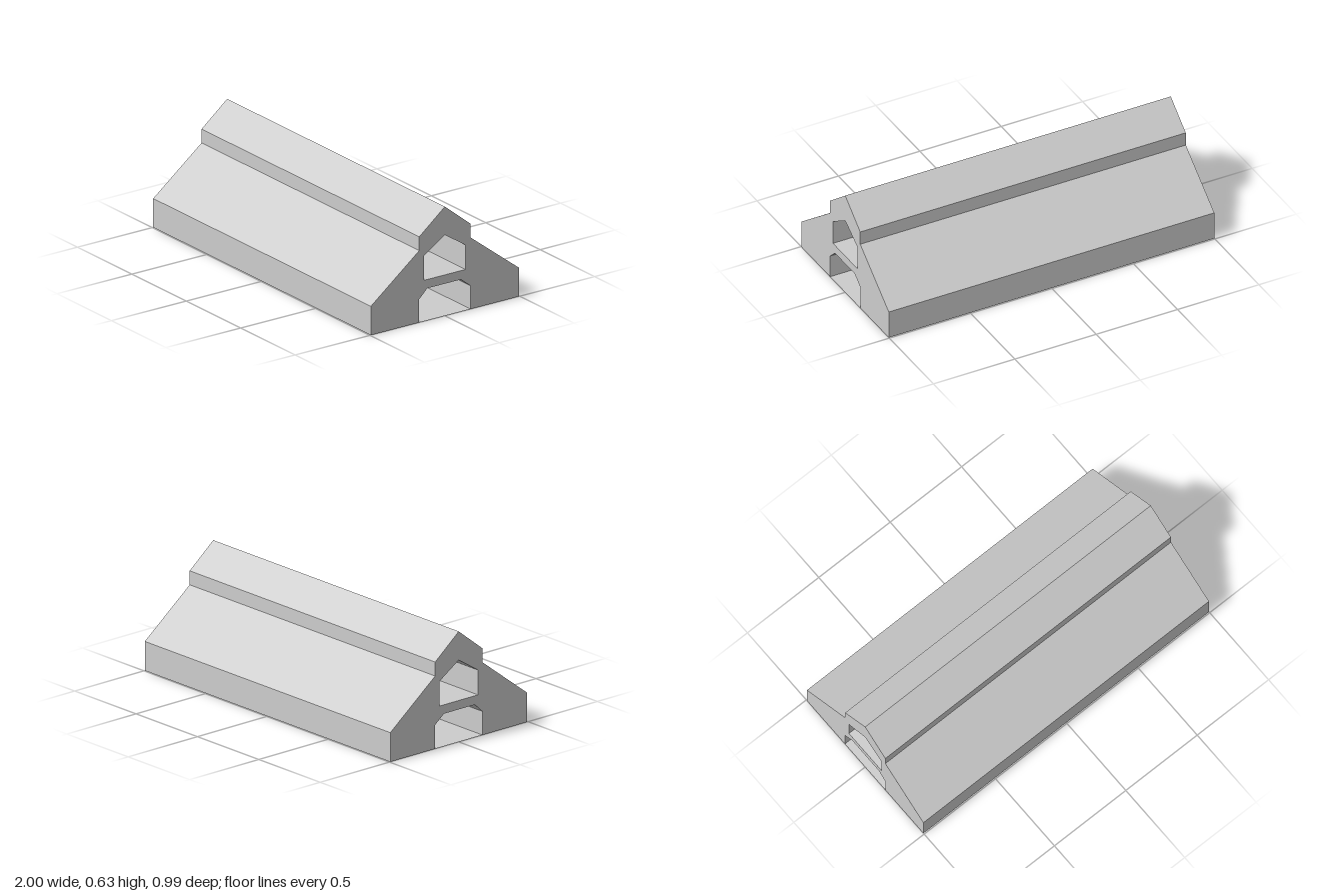
import * as THREE from 'three';

const HALF = 1; // half the length

// Closed profile path from [u, y] points
const trace = (path, points) => {
  points.forEach(([u, y], i) => (i ? path.lineTo(u, y) : path.moveTo(u, y)));
  path.closePath();
  return path;
};

// Flat-faced walls swept along the length from a profile line
const sweep = (points) => {
  const positions = [];
  for (let i = 0; i < points.length - 1; i++) {
    const [a, b] = [points[i], points[i + 1]];
    positions.push(...a, -HALF, ...b, -HALF, ...b, HALF);
    positions.push(...a, -HALF, ...b, HALF, ...a, HALF);
  }
  const geometry = new THREE.BufferGeometry();
  geometry.setAttribute('position', new THREE.Float32BufferAttribute(positions, 3));
  geometry.computeVertexNormals();
  return geometry;
};

export function createModel() {
  const group = new THREE.Group();
  group.name = 'gabledHall';
  const stone = new THREE.MeshStandardMaterial({ color: 0xcccccc, side: THREE.DoubleSide });
  stone.name = 'light grey';

  // Profiles are drawn across the hall, then turned to run along x
  const add = (name, geometry) => {
    const mesh = new THREE.Mesh(geometry.rotateY(Math.PI / 2), stone);
    mesh.name = name;
    group.add(mesh);
  };

  // Outer walls and roofs, from one foot over the ridge to the other
  const shell = [
    [0.494, 0], [0.494, 0.167], [0.17, 0.416], [0.17, 0.496], [0, 0.632],
    [-0.171, 0.496], [-0.171, 0.416], [-0.494, 0.167], [-0.494, 0],
  ];
  // Lower passage, open at both ends
  const lower = [
    [-0.171, 0], [-0.171, 0.135], [-0.117, 0.186],
    [0.107, 0.186], [0.172, 0.135], [0.172, 0],
  ];
  // Upper passage with a pointed ceiling
  const upper = [
    [-0.139, 0.237], [-0.139, 0.379], [0, 0.468], [0.138, 0.379], [0.138, 0.237],
  ];

  // The aisles are hollow and open underneath; only the passage has a floor
  add('outerShell', sweep(shell));
  add('lowerPassage', sweep(lower));
  add('lowerPassageFloor', sweep([lower[0], lower[5]]));
  add('upperPassage', sweep([...upper, upper[0]]));

  // End walls with both passage openings
  const section = trace(new THREE.Shape(), [...shell, ...lower]);
  section.holes.push(trace(new THREE.Path(), upper));
  add('leftEndWall', new THREE.ShapeGeometry(section).translate(0, 0, HALF));
  add('rightEndWall', new THREE.ShapeGeometry(section).rotateY(Math.PI).scale(-1, 1, 1)
    .translate(0, 0, -HALF));
  return group;
}
